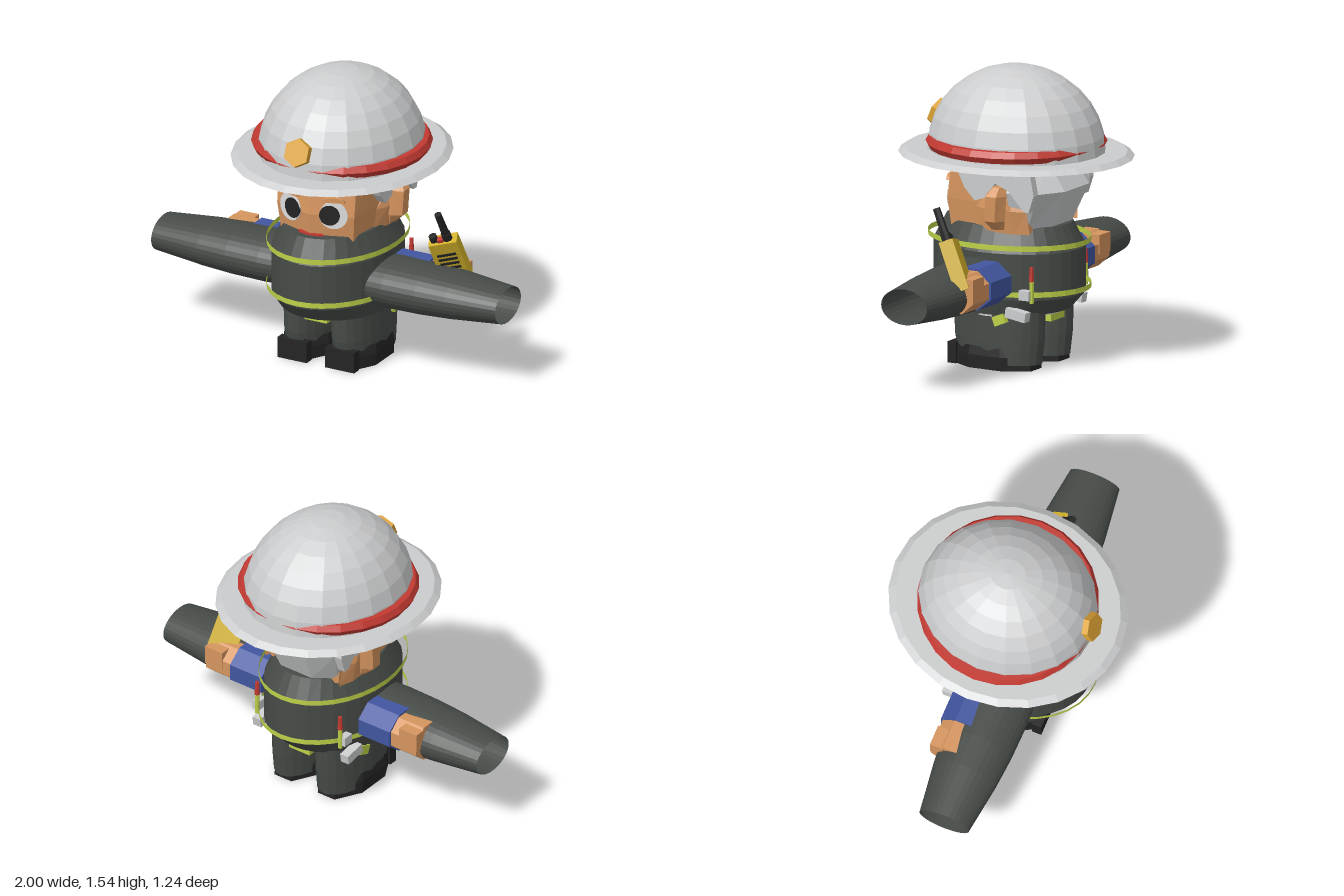
import * as THREE from 'three';

const mat = (name, color, double) => {
  const m = new THREE.MeshStandardMaterial({ color, flatShading: true });
  m.name = name;
  if (double) m.side = THREE.DoubleSide;
  return m;
};

// Closed solid through stacked rings of [x, y, z], listed bottom to top
function loft(rings) {
  const pos = [], n = rings[0].length;
  const tri = (a, b, c) => pos.push(...a, ...b, ...c);
  const mid = r => [0, 1, 2].map(k => r.reduce((s, p) => s + p[k], 0) / n);
  const bottom = rings[0], top = rings[rings.length - 1];
  const cb = mid(bottom), ct = mid(top);
  for (let i = 0; i < n; i++) {
    const j = (i + 1) % n;
    for (let k = 0; k + 1 < rings.length; k++) {
      const lo = rings[k], hi = rings[k + 1];
      tri(lo[i], lo[j], hi[j]);
      tri(lo[i], hi[j], hi[i]);
    }
    tri(cb, bottom[j], bottom[i]);
    tri(ct, top[i], top[j]);
  }
  const g = new THREE.BufferGeometry();
  g.setAttribute('position', new THREE.Float32BufferAttribute(pos, 3));
  g.computeVertexNormals();
  return g;
}

const oval = (y, rx, rz, n, cz = 0, cx = 0, turn = 0) => Array.from({ length: n }, (_, i) => {
  const t = (i + turn) / n * Math.PI * 2;
  return [cx + rx * Math.sin(t), y, cz + rz * Math.cos(t)];
});

// Mirrored ring from half a section, front to back
const mirrorRing = (y, half) => [
  ...half.map(([x, z]) => [x, y, z]),
  ...half.filter(p => p[0] !== 0).reverse().map(([x, z]) => [-x, y, z]),
];

export function createModel() {
  const root = new THREE.Group();
  root.name = 'firefighter';
  const skin = mat('skin', 0xd6955f);
  const grey = mat('light grey', 0xcbcccd);
  const cloth = mat('dark cloth', 0x474c48, true);
  const black = mat('black', 0x242424);
  const gold = mat('gold', 0xdca234);
  const yellow = mat('radio yellow', 0xd2b02a);
  const lime = mat('lime', 0xbdd148, true);
  const red = mat('red', 0xc23a32);
  const blue = mat('blue', 0x4256a0);
  const white = mat('eye white', 0xdedede);

  const add = (name, geo, material, x = 0, y = 0, z = 0, parent = root) => {
    const m = new THREE.Mesh(geo, material);
    m.name = name;
    m.position.set(x, y, z);
    parent.add(m);
    return m;
  };
  const box = (w, h, d) => new THREE.BoxGeometry(w, h, d);

  // Helmet
  add('helmetDome', new THREE.SphereGeometry(1, 20, 8, 0, Math.PI * 2, 0, Math.PI / 2)
    .scale(0.42, 0.44, 0.47), grey, 0, 1.1, 0);
  add('helmetBrim', loft([oval(1.08, 0.55, 0.62, 24), oval(1.105, 0.515, 0.585, 24)]), grey);
  add('helmetBand', new THREE.TorusGeometry(0.428, 0.035, 6, 24).rotateX(Math.PI / 2), red, 0, 1.147, 0);
  add('helmetBadge', new THREE.CylinderGeometry(0.075, 0.075, 0.035, 6), gold, 0, 1.24, 0.462)
    .rotation.x = Math.PI / 2 - 0.4;

  // Head with a centre ridge on the face
  const headRing = (y, f, w) => mirrorRing(y, [[0, f], [w * 0.88, f - 0.075], [w, 0.02], [w * 0.9, -0.2], [0, -0.25]]);
  add('head', loft([headRing(0.72, 0.335, 0.24), headRing(0.86, 0.35, 0.255), headRing(1.09, 0.32, 0.255)]), skin);
  add('mouth', new THREE.CylinderGeometry(0.075, 0.075, 0.025, 8).scale(1, 1, 0.3), red, 0, 0.742, 0.326);

  // Hair at the back of the head
  const hairRing = (y, w, zb) => mirrorRing(y, [[0, -0.12], [w, -0.12], [w * 0.85, zb + 0.08], [w * 0.4, zb], [0, zb]]);
  add('backHair', loft([hairRing(0.74, 0.24, -0.27), hairRing(0.94, 0.3, -0.36), hairRing(1.09, 0.27, -0.25)]), grey);
  const sideShape = new THREE.Shape([[0.27, 1.09], [0.24, 1.05], [0.18, 1.04], [0.13, 0.94], [0.07, 0.88],
    [0.01, 0.9], [-0.05, 0.98], [-0.13, 0.95], [-0.22, 0.85], [-0.25, 0.85], [-0.28, 0.94], [-0.25, 1.09]]
    .map(([z, y]) => new THREE.Vector2(-z, y)));

  for (const s of [1, -1]) {
    const side = s > 0 ? 'left' : 'right';

    // Side hair and ear
    add(side + 'SideHair', new THREE.ExtrudeGeometry(sideShape, { depth: 0.045, bevelEnabled: false })
      .rotateY(Math.PI / 2), grey, s > 0 ? 0.25 : -0.295);
    add(side + 'Ear', loft([
      oval(0.74, 0.025, 0.04, 6, -0.05, s * 0.27), oval(0.79, 0.06, 0.06, 6, -0.045, s * 0.29),
      oval(0.92, 0.065, 0.06, 6, -0.055, s * 0.29), oval(0.965, 0.04, 0.035, 6, -0.07, s * 0.28),
    ]), skin);
    add(side + 'Cheek', loft([
      oval(0.72, 0.03, 0.16, 6, -0.06, s * 0.235), oval(0.84, 0.035, 0.15, 6, -0.06, s * 0.25),
      oval(0.95, 0.03, 0.05, 6, -0.07, s * 0.25),
    ]), skin);

    // Eye plates set on the slanted face panels
    const eye = new THREE.Group();
    eye.name = side + 'Eye';
    eye.position.set(s * 0.125, 0.866, 0.313);
    eye.rotation.y = s * 0.325;
    root.add(eye);
    const disc = (r, h) => new THREE.CylinderGeometry(r, r, h, 20).rotateX(Math.PI / 2);
    add('eyeWhite', disc(0.074, 0.009), white, 0, 0, 0, eye);
    add('pupil', disc(0.054, 0.009), black, -s * 0.02, 0, 0.004, eye);
    add('brow', new THREE.CylinderGeometry(0.06, 0.06, 0.025, 10, 1, false, Math.PI / 2, Math.PI)
      .rotateX(Math.PI / 2).scale(1, 0.45, 1), skin, 0, 0.072, 0, eye);

    // Open tapered sleeve
    const profile = [[0.126, 0.2], [0.13, 0.36], [0.127, 0.55], [0.118, 0.72], [0.093, 1]]
      .map(([r, x]) => new THREE.Vector2(r, x));
    add(side + 'Sleeve', new THREE.LatheGeometry(profile, 32).rotateZ(-s * Math.PI / 2)
      .scale(1, 1, 1.46), cloth, 0, 0.458, 0.063);

    // Cuff, hand and thumb pushing out behind the sleeve
    const prism = (r, l) => new THREE.CylinderGeometry(r, r, l, 8, 1, false, Math.PI / 8).rotateZ(Math.PI / 2);
    add(side + 'Cuff', prism(0.12, 0.2).scale(1, 0.97, 1.22), blue, s * 0.41, 0.472, -0.022);
    add(side + 'Hand', prism(0.105, 0.19).scale(1, 1, 1.15), skin, s * 0.575, 0.472, -0.035);
    add(side + 'Fingers', box(0.11, 0.1, 0.07), skin, s * 0.62, 0.51, -0.115);

    // Leg and boot
    const cx = s * 0.138;
    add(side + 'Leg', loft([oval(0.03, 0.125, 0.235, 24, 0.01, cx), oval(0.15, 0.128, 0.255, 24, 0.015, cx),
      oval(0.33, 0.13, 0.262, 24, 0.015, cx)]), cloth);
    add(side + 'Boot', loft([oval(0, 0.138, 0.25, 8, 0.03, cx, 0.5), oval(0.07, 0.142, 0.245, 8, 0.03, cx, 0.5),
      oval(0.115, 0.134, 0.23, 8, 0.03, cx, 0.5)]), black);
    add(side + 'BootToe', box(0.17, 0.11, 0.05), black, cx, 0.055, 0.25);

    // Tools and pouches at the hip
    add(side + 'ToolHandle', new THREE.CylinderGeometry(0.01, 0.014, 0.075, 8), red, s * 0.265, 0.525, -0.25);
    add(side + 'ToolShaft', new THREE.CylinderGeometry(0.012, 0.012, 0.11, 8), lime, s * 0.265, 0.43, -0.25);
    add(side + 'HipPouch', box(0.05, 0.05, 0.12), grey, s * 0.28, 0.31, -0.175).rotation.x = -0.15;
    add(side + 'ToolHolder', box(0.04, 0.05, 0.06), grey, s * 0.275, 0.415, -0.22);
    add(side + 'HipTag', box(0.03, 0.05, 0.07), lime, s * 0.27, 0.27, -0.065).rotation.x = 0.4;
  }

  // Torso, belt and reflective hoops
  add('torso', loft([[0.295, 0.295, 0.33], [0.38, 0.315, 0.41], [0.62, 0.315, 0.41], [0.745, 0.255, 0.345]]
    .map(([y, rx, rz]) => oval(y, rx, rz, 32, 0.04))), cloth);
  add('belt', loft([oval(0.28, 0.27, 0.275, 24, 0.02), oval(0.3, 0.27, 0.275, 24, 0.02)]), grey);
  for (const y of [0.415, 0.655]) {
    add('reflectiveHoop', new THREE.CylinderGeometry(1, 1, 0.028, 32, 1, true).scale(0.34, 1, 0.44),
      lime, 0, y, 0.04);
  }
  for (const z of [0.255, -0.225]) add('beltTag', box(0.13, 0.04, 0.04), lime, 0, 0.262, z);

  // Handheld radio
  const radio = new THREE.Group();
  radio.name = 'radio';
  radio.position.set(0.62, 0.61, -0.02);
  radio.rotation.set(0.4, 0.4, 0.1);
  root.add(radio);
  add('radioBody', box(0.15, 0.27, 0.075), yellow, 0, 0, 0, radio);
  for (let i = 0; i < 4; i++) add('grilleBar', box(0.1, 0.014, 0.006), black, 0, 0.06 - i * 0.03, 0.039, radio);
  add('antennaBase', new THREE.CylinderGeometry(0.026, 0.026, 0.05, 8), black, 0.025, 0.15, 0, radio);
  add('antenna', new THREE.CylinderGeometry(0.019, 0.022, 0.17, 8), black, 0.025, 0.225, 0, radio);
  add('radioKnob', new THREE.CylinderGeometry(0.022, 0.022, 0.04, 8), black, -0.045, 0.15, 0, radio);
  add('radioButton', box(0.03, 0.02, 0.03), red, -0.01, 0.143, 0.01, radio);

  return root;
}
